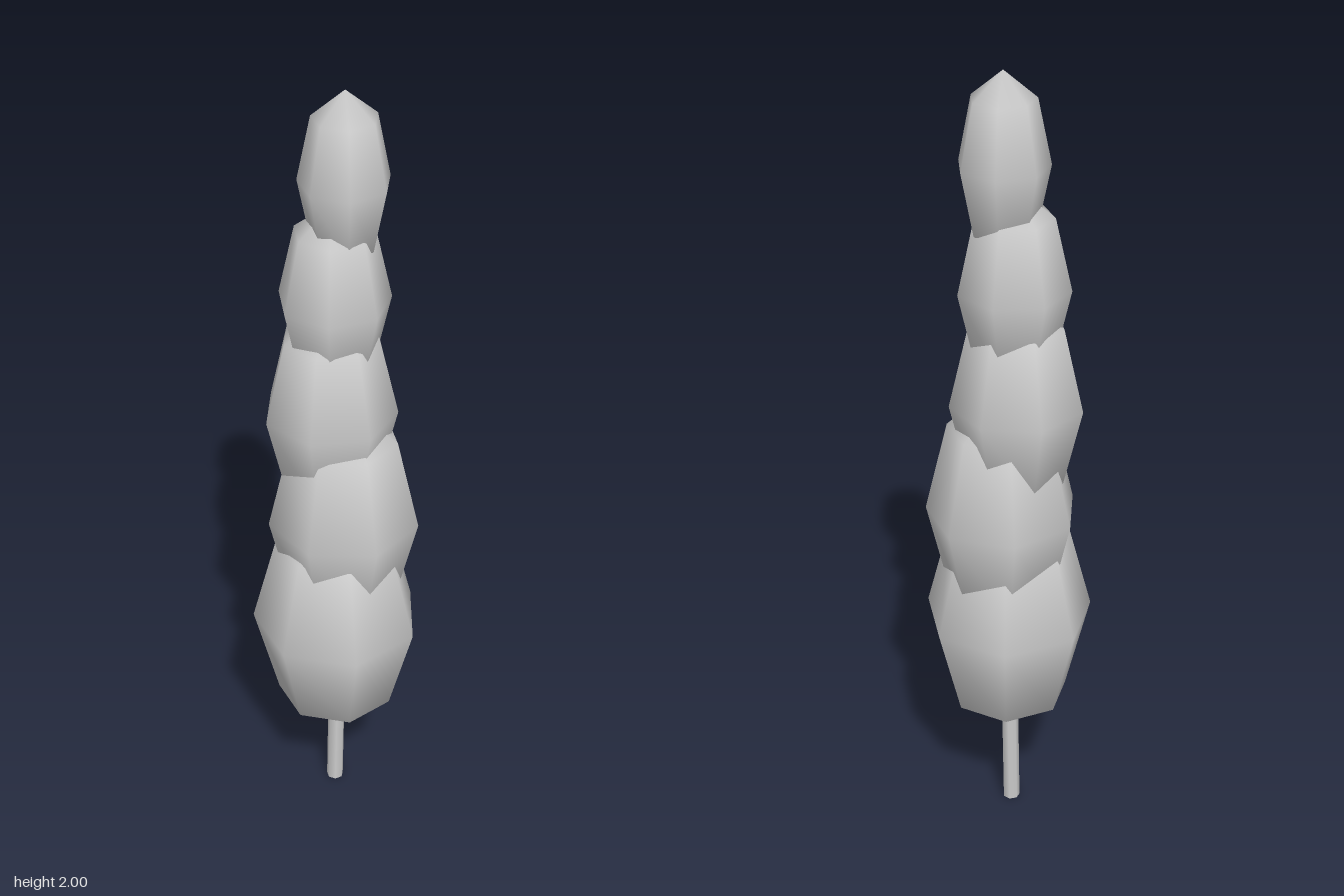
import * as THREE from 'three';

export function createModel() {
  const tree = new THREE.Group();
  tree.name = 'tree';
  const material = new THREE.MeshStandardMaterial({ color: 0xcccccc });

  // Slim trunk, leaning very slightly
  const trunk = new THREE.Mesh(new THREE.CylinderGeometry(0.022, 0.022, 0.42, 7), material);
  trunk.name = 'trunk';
  trunk.position.set(0, 0.21, -0.025);
  trunk.rotation.z = -0.015;
  tree.add(trunk);

  // Foliage tiers, bottom to top: centre x, y, z, radius, half height, angle of one corner (degrees)
  const tiers = [
    [0, 0.575, -0.006, 0.213, 0.34, 28.5],
    [0.018, 0.88, -0.017, 0.189, 0.33, 17],
    [-0.015, 1.18, -0.035, 0.164, 0.29, 6],
    [-0.005, 1.48, -0.04, 0.136, 0.25, 46.5],
    [0.019, 1.78, -0.04, 0.109, 0.22, 35],
  ];
  tiers.forEach(([x, y, z, radius, halfHeight, corner], i) => {
    const geometry = new THREE.SphereGeometry(radius, 7, 4);
    geometry.scale(1, halfHeight / radius, 1);
    geometry.rotateY(THREE.MathUtils.degToRad(180 - corner));
    const tier = new THREE.Mesh(geometry, material);
    tier.name = `foliageTier${i + 1}`;
    tier.position.set(x, y, z);
    tree.add(tier);
  });

  return tree;
}
